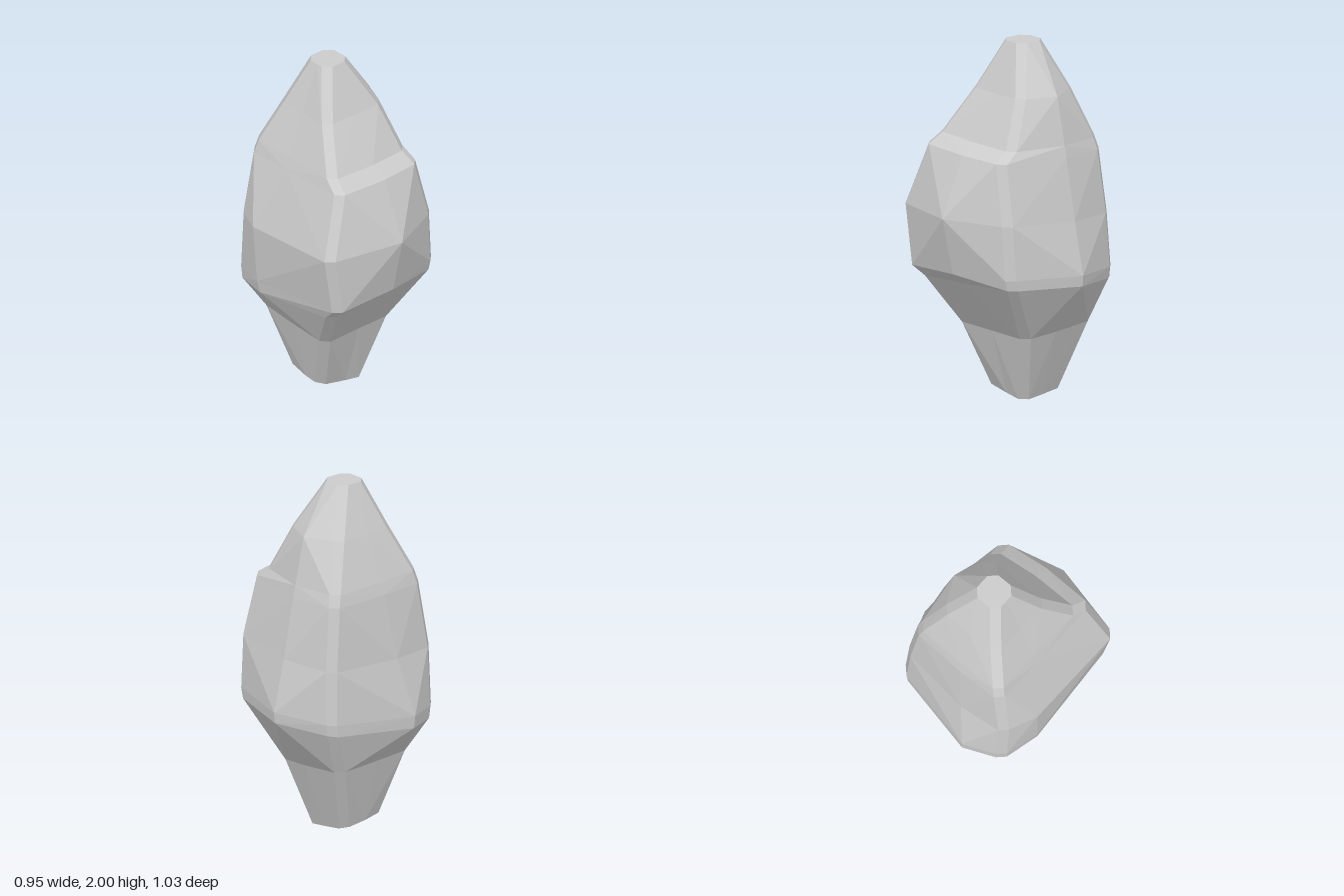
import * as THREE from 'three';

const CHAMFER = 0.043;

// Ring: four chamfered corners joined by four side middles that bulge freely.
// corners are [x, z] front right, front left, back left, back right;
// tiltX and tiltZ slope the ring.
function ring(y, [front, right, back, left], corners, tiltX = 0, tiltZ = 0) {
  const [a, b, c, d] = corners;
  const k = CHAMFER;
  // the back and -x middles drift sideways as they bulge
  const backX = -0.03 - Math.max(0, -back - 0.37);
  const leftZ = -0.08 - 1.2 * Math.max(0, -left - 0.35);
  const outline = [
    [a[0] + k, a[1]], [-0.02, front], [b[0] - k, b[1]],
    [b[0], b[1] - k], [right, -0.08], [c[0], c[1] + k],
    [c[0] - k, c[1]], [backX, back], [d[0] + k, d[1]],
    [d[0], d[1] + k], [left, leftZ], [a[0], a[1] - k],
  ];
  return outline.map(([x, z]) => new THREE.Vector3(x, y + tiltX * x + tiltZ * z, z));
}

function loft(rings) {
  const pos = [];
  const tri = (...v) => v.forEach((p) => pos.push(p.x, p.y, p.z));
  const n = rings[0].length;
  const plane = new THREE.Plane();
  for (let r = 0; r < rings.length - 1; r++) {
    for (let i = 0; i < n; i++) {
      const j = (i + 1) % n;
      const a = rings[r][i], b = rings[r][j], c = rings[r + 1][j], d = rings[r + 1][i];
      // split each quad along the diagonal that bulges outwards
      plane.setFromCoplanarPoints(a, b, c);
      if (plane.distanceToPoint(d) <= 0) {
        tri(a, b, c);
        tri(a, c, d);
      } else {
        tri(a, b, d);
        tri(b, c, d);
      }
    }
  }
  // end caps
  const foot = rings[0], tip = rings[rings.length - 1];
  for (let i = 1; i < n - 1; i++) {
    tri(foot[0], foot[i + 1], foot[i]);
    tri(tip[0], tip[i], tip[i + 1]);
  }
  const geometry = new THREE.BufferGeometry();
  geometry.setAttribute('position', new THREE.Float32BufferAttribute(pos, 3));
  geometry.computeVertexNormals();
  return geometry;
}

export function createModel() {
  // slanted foot
  const foot = ring(0.02, [0.048, 0.12, -0.26, -0.2],
    [[-0.2, 0.04], [0.12, 0.05], [0.115, -0.25], [-0.18, -0.25]], -0.16, -0.12);
  // narrow waist above the foot
  const waist = ring(0.4, [0.155, 0.25, -0.36, -0.29],
    [[-0.29, 0.175], [0.24, 0.14], [0.24, -0.36], [-0.28, -0.355]], -0.05, -0.08);
  // underside and upper edge of the belly
  const bellyUnder = ring(0.67, [0.36, 0.47, -0.51, -0.44],
    [[-0.4, 0.35], [0.37, 0.345], [0.345, -0.42], [-0.39, -0.43]], 0.06, 0.06);
  const belly = ring(0.735, [0.44, 0.475, -0.515, -0.45],
    [[-0.42, 0.425], [0.37, 0.36], [0.355, -0.42], [-0.395, -0.435]], 0.05, 0.05);
  // front bulge
  const bulge = ring(1.055, [0.515, 0.405, -0.445, -0.465],
    [[-0.475, 0.425], [0.35, 0.365], [0.34, -0.405], [-0.395, -0.415]], 0, 0.05);
  // outer and inner edges of the front ledge
  const ledgeOuter = ring(1.41, [0.37, 0.335, -0.395, -0.345],
    [[-0.35, 0.365], [0.27, 0.34], [0.3, -0.38], [-0.34, -0.39]], -0.03, 0.02);
  const ledgeInner = ring(1.475, [0.28, 0.32, -0.375, -0.32],
    [[-0.33, 0.28], [0.255, 0.255], [0.28, -0.365], [-0.32, -0.375]], -0.04);
  // shoulder and flat tip
  const shoulder = ring(1.73, [0.13, 0.26, -0.285, -0.22],
    [[-0.23, 0.13], [0.19, 0.13], [0.18, -0.28], [-0.22, -0.28]]);
  const tip = ring(2, [0.005, 0.055, -0.17, -0.12],
    [[-0.12, 0.005], [0.055, 0.005], [0.055, -0.17], [-0.12, -0.17]]);

  const rock = new THREE.Mesh(
    loft([foot, waist, bellyUnder, belly, bulge, ledgeOuter, ledgeInner, shoulder, tip]),
    new THREE.MeshStandardMaterial({ color: 0xcccccc, flatShading: true }),
  );
  rock.name = 'rock';
  const group = new THREE.Group();
  group.name = 'facetedRock';
  group.add(rock);
  return group;
}
